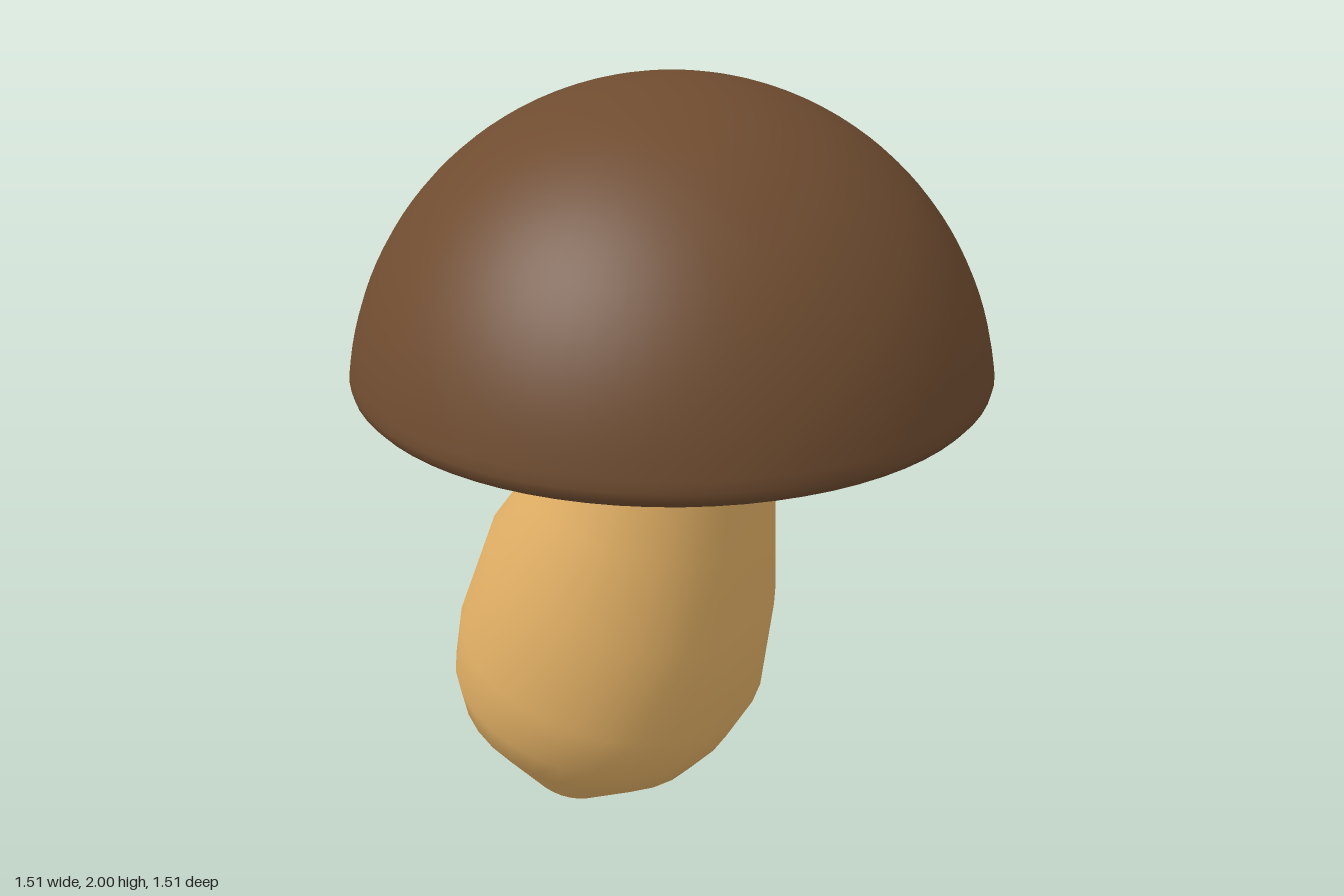
import * as THREE from 'three';
import { mergeVertices } from 'three/addons/utils/BufferGeometryUtils.js';

function material(name, color) {
  const m = new THREE.MeshStandardMaterial({ color });
  m.name = name;
  return m;
}

// Lofts a smooth tube through tilted oval rings: [leftX, leftY, rightX, rightY, halfDepth]
function loft(rings, sides) {
  const pos = [], index = [];
  for (const [lx, ly, rx, ry, depth] of rings) {
    for (let i = 0; i < sides; i++) {
      const a = (i / sides) * Math.PI * 2, t = (1 + Math.cos(a)) / 2;
      pos.push(lx + (rx - lx) * t, ly + (ry - ly) * t, depth * Math.sin(a));
    }
  }
  for (let j = 0; j < rings.length - 1; j++) {
    for (let i = 0; i < sides; i++) {
      const k = (i + 1) % sides;
      const a = j * sides + i, b = j * sides + k;
      index.push(a, a + sides, b, b, a + sides, b + sides);
    }
  }
  const g = new THREE.BufferGeometry();
  g.setAttribute('position', new THREE.Float32BufferAttribute(pos, 3));
  g.setIndex(index);
  g.computeVertexNormals();
  return g;
}

export function createModel() {
  const group = new THREE.Group();
  group.name = 'mushroom';
  const brown = material('cap brown', 0x6f4c30);
  const tan = material('stem tan', 0xe2b065);
  const grey = material('gill grey', 0xb9b996);
  const add = (name, geometry, mat) => {
    const mesh = new THREE.Mesh(geometry, mat);
    mesh.name = name;
    group.add(mesh);
  };

  // Cap: rounded rim running into a spherical dome
  const R = 0.763, cy = 2 - R;
  const profile = [[0, 1.29], [0.6, 1.284], [0.67, 1.281], [0.71, 1.287], [0.738, 1.299], [0.752, 1.315], [0.757, 1.335]]
    .map(([r, y]) => new THREE.Vector2(r, y));
  const start = Math.asin((1.36 - cy) / R);
  for (let i = 0; i <= 28; i++) {
    const a = start + (Math.PI / 2 - start) * (i / 28);
    profile.push(new THREE.Vector2(Math.max(0, R * Math.cos(a)), cy + R * Math.sin(a)));
  }
  add('cap', new THREE.LatheGeometry(profile, 72), brown);

  // Underside: shallow bulge with an uneven edge
  const under = new THREE.LatheGeometry(
    [[0, 1.253], [0.27, 1.255], [0.5, 1.263], [0.685, 1.277]].map(([r, y]) => new THREE.Vector2(r, y)), 72);
  const p = under.attributes.position;
  for (let i = 0; i < p.count; i++) {
    const x = p.getX(i), z = p.getZ(i);
    if (Math.hypot(x, z) < 0.6) continue;
    const a = Math.atan2(z, x);
    const s = 1 + 0.012 * Math.sin(a * 17) + 0.008 * Math.sin(a * 9 + 1);
    p.setX(i, x * s);
    p.setZ(i, z * s);
  }
  add('underside', under, grey);

  // Stem: leaning bulb narrowing towards the cap
  const rings = [
    [-0.46, 0.07, -0.22, 0.005, 0.115],
    [-0.61, 0.355, 0.05, 0.18, 0.33],
    [-0.612, 0.46, 0.13, 0.27, 0.38],
    [-0.575, 0.62, 0.205, 0.4, 0.405],
    [-0.48, 0.86, 0.245, 0.66, 0.37],
    [-0.36, 1.02, 0.248, 0.9, 0.31],
    [-0.31, 1.1, 0.25, 1.07, 0.282],
    [-0.27, 1.19, 0.243, 1.19, 0.256],
    [-0.268, 1.285, 0.243, 1.285, 0.255],
  ];
  add('stem', loft(rings, 32), tan);

  // Flat cut closing the foot of the stem
  const [lx, ly, rx, ry, depth] = rings[0];
  const mx = (lx + rx) / 2, my = (ly + ry) / 2;
  add('stemFoot', mergeVertices(loft([[mx, my, mx, my, 0], [lx, ly, rx, ry, depth]], 32)), tan);

  return group;
}
